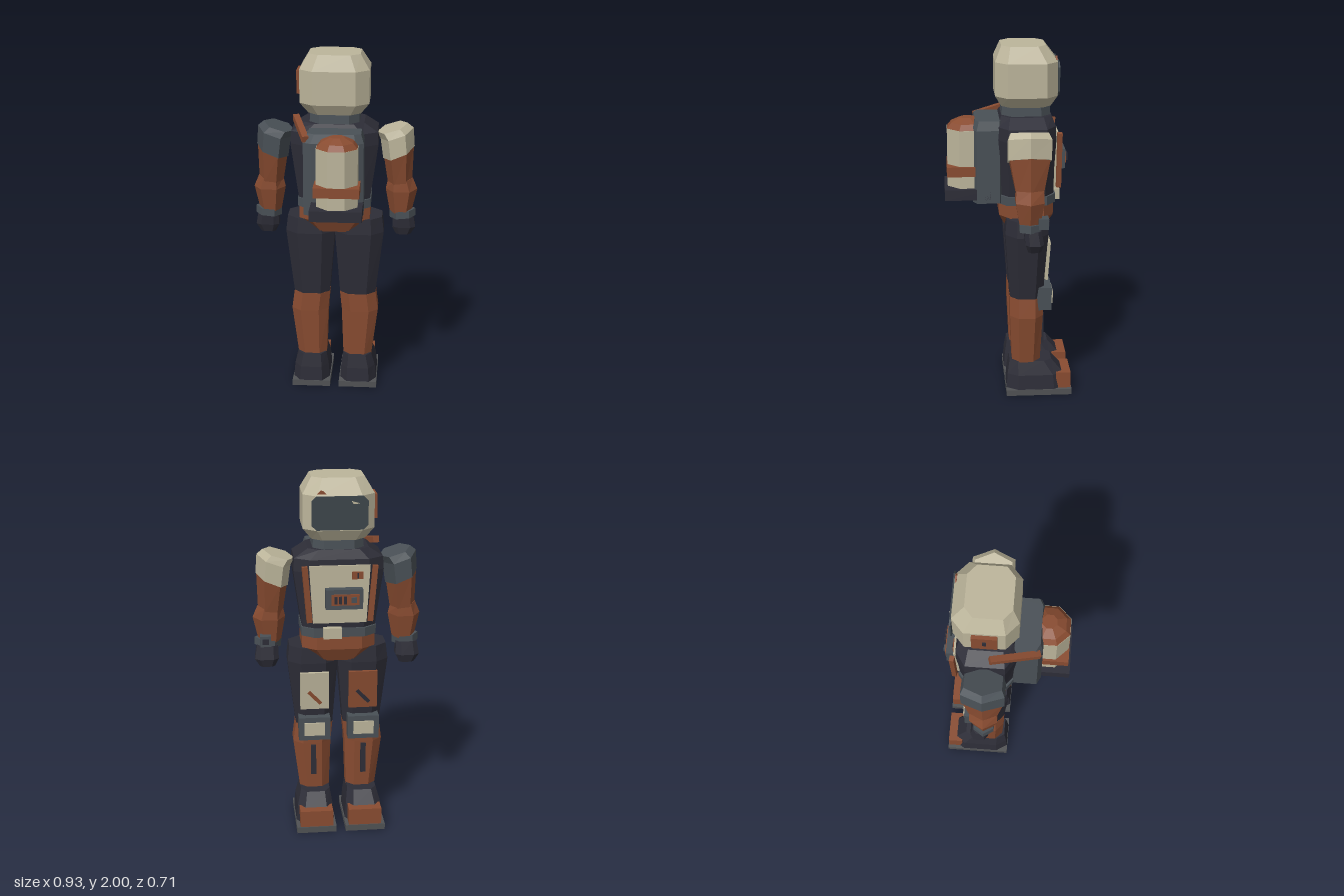
import * as THREE from 'three';

const mat = (name, color) => Object.assign(new THREE.MeshStandardMaterial({ color }), { name });
const CREAM = mat('cream', 0xbcb59b), RUST = mat('rust', 0x894c31), DARK = mat('charcoal', 0x2d2d37),
  GREY = mat('slate grey', 0x495056), VISOR = mat('visor grey', 0x3d454a), SOLE = mat('sole grey', 0x505254);

// Unit cross-sections in x/z: a square with cut corners, and a regular polygon
const cut = k => [[1, -k], [1, k], [k, 1], [-k, 1], [-1, k], [-1, -k], [-k, -1], [k, -1]];
const ngon = (n, a = 0) => Array.from({ length: n }, (_, i) => {
  const t = a + i / n * Math.PI * 2;
  return [Math.cos(t), Math.sin(t)];
});
const HEX = ngon(6), OCT = ngon(8, Math.PI / 8);

export function createModel() {
  const model = new THREE.Group();
  model.name = 'spacesuit';

  const add = (name, geo, material, parent = model) => {
    const flat = geo.index ? geo.toNonIndexed() : geo;
    flat.computeVertexNormals();
    const m = new THREE.Mesh(flat, material);
    m.name = name;
    parent.add(m);
    return m;
  };

  // Faceted solid through rings listed bottom to top: [x, y, z, halfX, halfZ, slope]
  const loft = (name, material, section, rings, parent) => {
    const n = section.length, pos = [], idx = [];
    for (const [x, y, z, hx, hz, slope = 0] of rings)
      for (const [u, v] of section) pos.push(x + u * hx, y + u * hx * slope, z + v * hz);
    for (let r = 0; r < rings.length - 1; r++)
      for (let j = 0; j < n; j++) {
        const a = r * n + j, b = r * n + (j + 1) % n;
        idx.push(a, a + n, b, b, a + n, b + n);
      }
    const t = (rings.length - 1) * n;
    for (let j = 1; j < n - 1; j++) idx.push(0, j, j + 1, t, t + j + 1, t + j);
    const g = new THREE.BufferGeometry();
    g.setAttribute('position', new THREE.Float32BufferAttribute(pos, 3));
    g.setIndex(idx);
    return add(name, g, material, parent);
  };

  // Box given by its limits on each axis
  const box = (name, material, [x0, x1], [y0, y1], [z0, z1], parent) => {
    const m = add(name, new THREE.BoxGeometry(x1 - x0, y1 - y0, z1 - z0), material, parent);
    m.position.set((x0 + x1) / 2, (y0 + y1) / 2, (z0 + z1) / 2);
    return m;
  };

  // Rectangular bar between two points
  const bar = (name, material, a, b, w, h, parent) => {
    const A = new THREE.Vector3(...a), B = new THREE.Vector3(...b);
    const m = add(name, new THREE.BoxGeometry(w, h, A.distanceTo(B)), material, parent);
    m.position.copy(A).lerp(B, 0.5);
    m.lookAt(B);
    return m;
  };

  // Thin plate from an outline in x/y, at depth z
  const plate = (name, material, pts, z, depth, parent) => {
    const shape = new THREE.Shape(pts.map(p => new THREE.Vector2(...p)));
    const m = add(name, new THREE.ExtrudeGeometry(shape, { depth, bevelEnabled: false }), material, parent);
    m.position.z = z;
    return m;
  };

  // Helmet
  const C = -0.095;
  loft('helmet', CREAM, cut(0.62), [
    [0, 1.67, C, 0.145, 0.135], [0, 1.73, C, 0.192, 0.17],
    [0, 1.915, C, 0.192, 0.17], [0, 2, C + 0.015, 0.142, 0.12]]);
  plate('visor', VISOR, [[-0.15, 1.76], [-0.125, 1.735], [0.125, 1.735], [0.15, 1.76],
    [0.15, 1.89], [0.125, 1.915], [-0.125, 1.915], [-0.15, 1.89]], -0.273, 0.009);
  plate('visorGlint', CREAM, [[-0.11, 1.875], [-0.06, 1.89], [-0.07, 1.875]], -0.276, 0.004);
  plate('helmetScratch', RUST, [[0.07, 1.925], [0.12, 1.925], [0.1, 1.945], [0.085, 1.94]], -0.262, 0.009);
  box('earPanel', RUST, [-0.212, -0.19], [1.77, 1.9], [-0.16, -0.03]);
  box('earPanelInset', DARK, [-0.216, -0.21], [1.82, 1.86], [-0.105, -0.085]);
  loft('neckRing', GREY, cut(0.6), [[0, 1.6, C, 0.14, 0.135], [0, 1.675, C, 0.135, 0.13]]);

  // Torso, belt and pelvis
  loft('torso', DARK, cut(0.66), [
    [0, 1.18, C, 0.2, 0.15], [0, 1.5, C, 0.245, 0.162], [0, 1.57, C, 0.24, 0.158], [0, 1.62, C, 0.165, 0.138]]);
  loft('belt', GREY, cut(0.68), [[0, 1.135, C, 0.205, 0.16], [0, 1.185, C, 0.205, 0.16]]);
  box('buckle', CREAM, [-0.01, 0.09], [1.135, 1.195], [-0.285, -0.25]);
  loft('pelvis', RUST, cut(0.62), [
    [0, 0.985, C, 0.125, 0.115], [0, 1.06, C, 0.2, 0.15], [0, 1.14, C, 0.2, 0.15]]);

  // Chest panel with control box
  plate('chestPanel', CREAM, [[-0.145, 1.22], [0.145, 1.22], [0.165, 1.54], [-0.165, 1.54]], -0.266, 0.02);
  for (const s of [-1, 1])
    bar('chestStrip', RUST, [s * 0.165, 1.23, -0.27], [s * 0.19, 1.54, -0.272], 0.025, 0.03);
  box('controlBox', GREY, [-0.12, 0.08], [1.31, 1.42], [-0.315, -0.26]);
  box('controlFace', RUST, [-0.1, 0.05], [1.335, 1.395], [-0.322, -0.314]);
  for (let i = 0; i < 3; i++)
    box('controlKey', DARK, [-0.03 + i * 0.025, -0.015 + i * 0.025], [1.345, 1.385], [-0.332, -0.32]);
  box('controlKnob', GREY, [-0.085, -0.055], [1.35, 1.38], [-0.332, -0.32]);
  box('chestTag', RUST, [-0.125, -0.065], [1.465, 1.505], [-0.274, -0.265]);
  box('chestTagMark', DARK, [-0.1, -0.092], [1.47, 1.5], [-0.277, -0.273]);

  // Backpack: pack body, tray, strapped tank and shoulder hose
  const pack = new THREE.Group();
  pack.name = 'backpack';
  model.add(pack);
  loft('packBody', GREY, cut(0.74), [
    [0.005, 1.14, 0.115, 0.165, 0.085], [0.005, 1.55, 0.115, 0.165, 0.085], [0.01, 1.6, 0.11, 0.145, 0.075]], pack);
  box('packTray', DARK, [-0.115, 0.17], [1.16, 1.22], [0.1, 0.355], pack);
  const T = [0.03, 0.225];
  const tankRing = (y, r) => [T[0], y, T[1], r, r];
  loft('tank', CREAM, OCT, [tankRing(1.2, 0.122), tankRing(1.545, 0.122)], pack);
  loft('tankDome', RUST, OCT, [tankRing(1.545, 0.12), tankRing(1.575, 0.095), tankRing(1.6, 0.042)], pack);
  box('tankBand', RUST, [-0.095, 0.155], [1.29, 1.345], [0.16, 0.342], pack);
  bar('shoulderHose', RUST, [-0.22, 1.63, -0.07], [-0.145, 1.57, 0.185], 0.035, 0.035, pack);

  for (const s of [-1, 1]) {
    // Arm rings mirrored by side
    const M = rings => rings.map(([x, y, z, hx, hz, k = 0]) => [s * x, y, z, hx, hz, s * k]);
    const arm = new THREE.Group();
    arm.name = s > 0 ? 'leftArm' : 'rightArm';
    model.add(arm);
    loft('shoulder', s > 0 ? CREAM : GREY, HEX, M([
      [0.357, 1.43, C, 0.088, 0.132, 0.42], [0.345, 1.54, C, 0.092, 0.133, 0.36], [0.318, 1.573, C, 0.086, 0.115, 0.31]]), arm);
    loft('upperArm', RUST, HEX, M([
      [0.367, 1.25, C, 0.068, 0.083, 0.1], [0.357, 1.44, C, 0.084, 0.125, 0.42]]), arm);
    loft('forearm', RUST, HEX, M([
      [0.373, 1.08, C, 0.062, 0.062], [0.376, 1.215, C, 0.09, 0.088], [0.368, 1.275, C, 0.07, 0.085, 0.1]]), arm);
    loft('cuff', GREY, HEX, M([[0.386, 1.05, C, 0.074, 0.064, 0.1], [0.383, 1.092, C, 0.074, 0.064, 0.1]]), arm);
    loft('hand', DARK, cut(0.55), M([
      [0.39, 0.94, -0.12, 0.042, 0.036], [0.393, 0.985, -0.12, 0.066, 0.05], [0.388, 1.06, -0.11, 0.058, 0.046]]), arm);

    const leg = new THREE.Group();
    leg.name = s > 0 ? 'leftLeg' : 'rightLeg';
    model.add(leg);
    const cl = cut(0.5);
    loft('thigh', DARK, cl, M([
      [0.133, 0.59, C, 0.103, 0.093], [0.14, 0.97, C, 0.14, 0.12], [0.142, 1.06, C, 0.127, 0.113]]), leg);
    loft('shin', RUST, cl, M([
      [0.133, 0.19, C, 0.083, 0.08], [0.146, 0.48, C, 0.106, 0.093], [0.133, 0.592, C, 0.104, 0.094]]), leg);
    loft('boot', DARK, cut(0.62), M([
      [0.139, 0.03, -0.15, 0.108, 0.168], [0.138, 0.12, -0.148, 0.1, 0.16], [0.133, 0.2, -0.12, 0.082, 0.12]]), leg);
    const X = (a, b) => s > 0 ? [a, b] : [-b, -a];
    box('sole', SOLE, X(0.026, 0.25), [0, 0.035], [-0.355, 0.02], leg);
    box('toeCap', RUST, X(0.045, 0.23), [0.035, 0.13], [-0.35, -0.265], leg);
    box('kneePad', GREY, X(0.05, 0.225), [0.52, 0.655], [-0.235, -0.12], leg);
    box('kneePlate', CREAM, X(0.08, 0.195), [0.55, 0.625], [-0.244, -0.234], leg);
    box('shinStripe', DARK, X(0.127, 0.157), [0.29, 0.47], [-0.197, -0.17], leg);

    // Thigh patch with a diagonal mark, leaning with the thigh
    const patch = new THREE.Group();
    patch.name = 'thighPatch';
    patch.position.set(s * 0.135, 0.81, -0.211);
    patch.rotation.x = -0.07;
    leg.add(patch);
    box('patchPlate', s > 0 ? CREAM : RUST, [-0.08, 0.08], [-0.11, 0.11], [-0.009, 0.009], patch);
    const mark = box('patchMark', s > 0 ? RUST : DARK, [-0.01, 0.01], [-0.05, 0.05], [-0.013, -0.008], patch);
    mark.position.y = -0.04;
    mark.rotation.z = -0.75;
  }

  // Wrist device
  box('wristDevice', GREY, [0.37, 0.43], [1.07, 1.13], [-0.195, -0.14]);
  box('wristScreen', DARK, [0.382, 0.418], [1.085, 1.115], [-0.199, -0.194]);

  return model;
}
